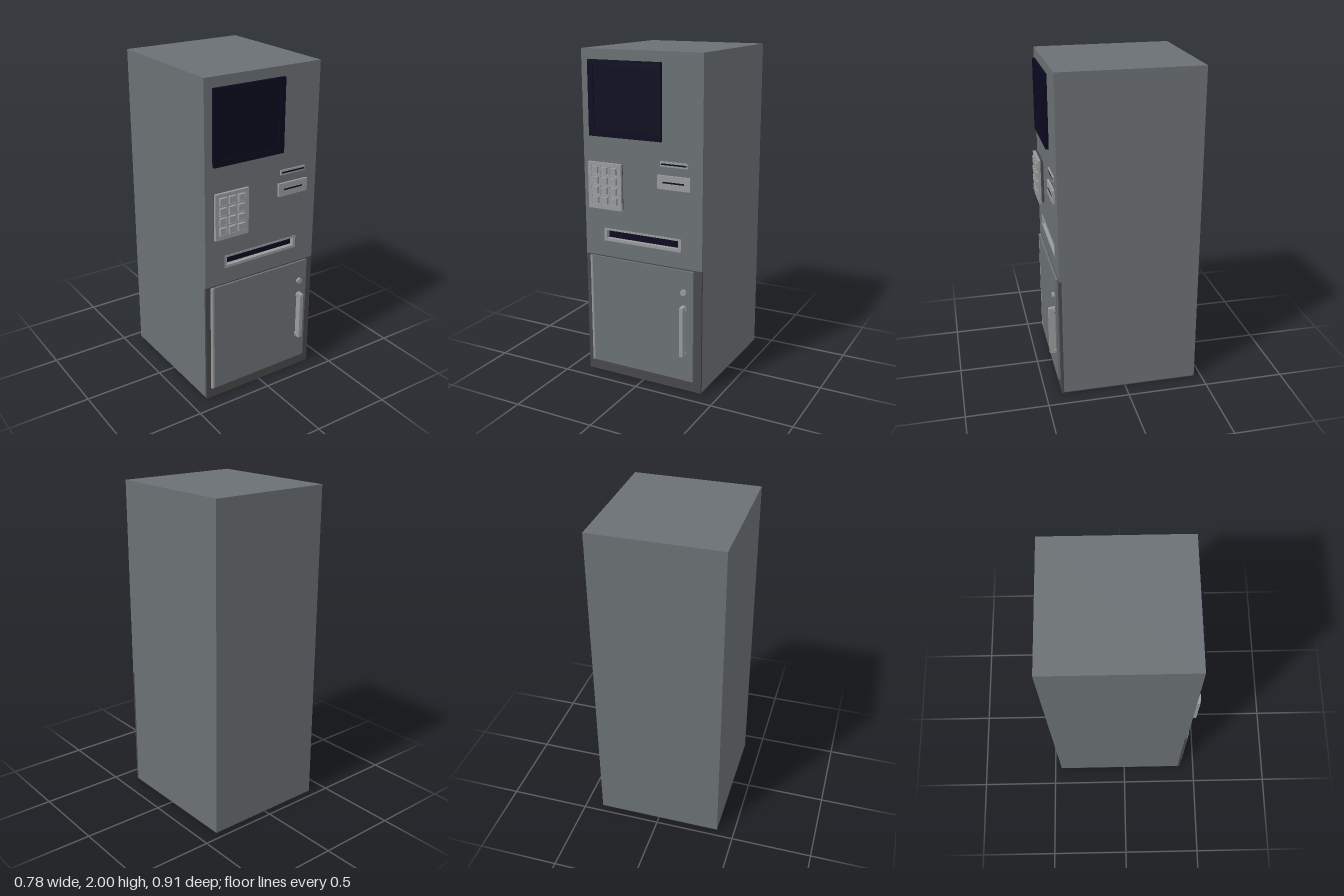
import * as THREE from 'three';

const mat = (name, color) => {
  const m = new THREE.MeshStandardMaterial({ color });
  m.name = name;
  return m;
};

export function createModel() {
  const model = new THREE.Group();
  model.name = 'cashMachine';
  const steel = mat('steel grey', 0x6a7073);
  const dark = mat('dark grey', 0x484749);
  const light = mat('light grey', 0x989a9c);
  const navy = mat('navy black', 0x0a0a1f);

  const add = (name, geometry, material) => {
    const mesh = new THREE.Mesh(geometry, material);
    mesh.name = name;
    model.add(mesh);
    return mesh;
  };

  // Box given by its limits on each axis
  const box = (name, material, [x0, x1], [y0, y1], [z0, z1]) =>
    add(name, new THREE.BoxGeometry(x1 - x0, y1 - y0, z1 - z0), material)
      .position.set((x0 + x1) / 2, (y0 + y1) / 2, (z0 + z1) / 2);

  // Plate with rectangular openings, each [x0, x1, y0, y1]
  const trace = (path, [x0, x1, y0, y1]) => {
    path.moveTo(x0, y0);
    path.lineTo(x1, y0);
    path.lineTo(x1, y1);
    path.lineTo(x0, y1);
    path.closePath();
    return path;
  };
  const plate = (name, material, outer, holes, z0, z1) => {
    const shape = trace(new THREE.Shape(), outer);
    holes.forEach((h) => shape.holes.push(trace(new THREE.Path(), h)));
    const geo = new THREE.ExtrudeGeometry(shape, { depth: z1 - z0, bevelEnabled: false });
    geo.translate(0, 0, z0);
    return add(name, geo, material);
  };

  // Cabinet
  box('cabinet', steel, [-0.39, 0.39], [0.004, 2], [-0.455, 0.37]);
  box('base', dark, [-0.39, 0.39], [0, 0.004], [-0.455, 0.387]);
  plate('upperPanel', steel, [-0.39, 0.39, 0.768, 2], [[-0.26, 0.255, 0.865, 0.945]], 0.37, 0.4);
  box('lowerCore', steel, [-0.39, 0.39], [0.004, 0.768], [0.37, 0.387]);
  box('vaultFrame', dark, [-0.39, 0.39], [0, 0.768], [0.387, 0.401]);

  // Screen
  plate('screenBezel', navy, [-0.34, 0.135, 1.5, 1.94], [[-0.305, 0.1, 1.535, 1.905]], 0.4, 0.418);
  box('screen', navy, [-0.305, 0.1], [1.535, 1.905], [0.4, 0.41]);

  // Keypad
  const keys = [];
  for (const x of [-0.294, -0.232, -0.17])
    for (const y of [1.123, 1.183, 1.243, 1.304]) keys.push([x, y]);
  box('keypadBacking', dark, [-0.335, -0.125], [1.075, 1.345], [0.4, 0.418]);
  box('keypadFloor', light, [-0.342, -0.118], [1.07, 1.35], [0.418, 0.426]);
  plate('keypadPlate', light, [-0.342, -0.118, 1.07, 1.35],
    keys.map(([x, y]) => [x - 0.026, x + 0.026, y - 0.026, y + 0.026]), 0.426, 0.435);
  keys.forEach(([x, y]) =>
    box('key', light, [x - 0.02, x + 0.02], [y - 0.02, y + 0.02], [0.426, 0.443]));

  // Receipt slot and card reader
  box('receiptSlot', light, [0.125, 0.3], [1.36, 1.39], [0.4, 0.408]);
  box('receiptOpening', navy, [0.132, 0.293], [1.37, 1.379], [0.408, 0.409]);
  box('cardReader', light, [0.11, 0.317], [1.23, 1.31], [0.4, 0.414]);
  box('cardOpening', navy, [0.145, 0.28], [1.266, 1.275], [0.414, 0.415]);

  // Recessed cash slot
  plate('cashSlotFrame', light, [-0.26, 0.255, 0.865, 0.945], [[-0.243, 0.238, 0.882, 0.932]], 0.37, 0.402);
  box('cashSlotBack', navy, [-0.243, 0.238], [0.882, 0.932], [0.37, 0.374]);

  // Vault door and hinge
  box('vaultDoor', steel, [-0.34, 0.342], [0.07, 0.762], [0.4, 0.415]);
  add('hinge', new THREE.CylinderGeometry(0.01, 0.01, 0.69, 16), light).position.set(-0.35, 0.415, 0.406);

  // Lock knob
  const knob = add('lockKnob', new THREE.CylinderGeometry(0.018, 0.018, 0.02, 20), light);
  knob.rotation.x = Math.PI / 2;
  knob.position.set(0.283, 0.632, 0.421);

  // Door handle, profile drawn in z and y
  const profile = new THREE.Shape([[0.41, 0.232], [0.455, 0.238], [0.455, 0.545], [0.41, 0.55]]
    .map(([z, y]) => new THREE.Vector2(-z, y)));
  const grip = new THREE.ExtrudeGeometry(profile, { depth: 0.024, bevelEnabled: false });
  grip.rotateY(Math.PI / 2);
  grip.translate(0.271, 0, 0);
  add('doorHandle', grip, light);
  for (const y of [0.25, 0.53]) {
    const mount = add('handleMount', new THREE.CylinderGeometry(0.018, 0.018, 0.012, 16), light);
    mount.rotation.x = Math.PI / 2;
    mount.position.set(0.283, y, 0.419);
  }
  return model;
}
